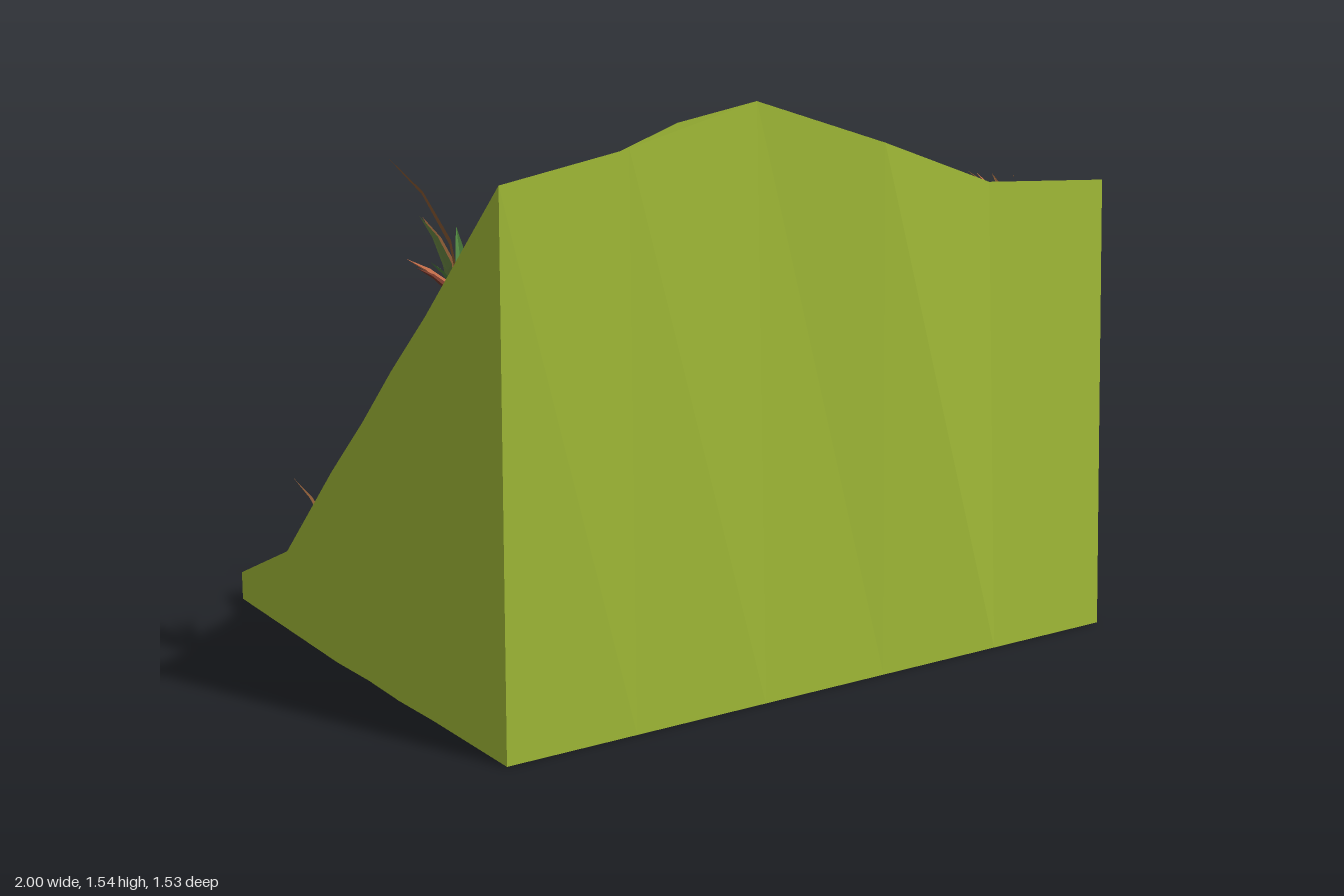
import * as THREE from 'three';

// Terrain columns from x = -0.95 to 0.98; each runs from low back to high front
const COLUMNS = [
  [[-0.95, 0.08, -0.72], [-0.95, 0.23, -0.4], [-0.95, 0.53, -0.1], [-0.94, 0.7, 0.07], [-0.94, 0.87, 0.24], [-0.93, 1.04, 0.41], [-0.92, 1.41, 0.765]],
  [[-0.56, 0.08, -0.72], [-0.56, 0.27, -0.47], [-0.6, 0.87, -0.08], [-0.57, 0.89, 0.08], [-0.51, 1.0, 0.12], [-0.49, 1.33, 0.34], [-0.55, 1.46, 0.735]],
  [[-0.17, 0.08, -0.72], [-0.17, 0.31, -0.51], [-0.24, 0.7, -0.11], [-0.19, 0.8, 0.06], [-0.19, 1.03, 0.18], [-0.18, 1.45, 0.38], [-0.16, 1.54, 0.7]],
  [[0.21, 0.08, -0.72], [0.23, 0.22, -0.37], [0.19, 0.62, -0.28], [0.15, 0.68, 0.02], [0.18, 0.92, 0.22], [0.2, 1.22, 0.52], [0.22, 1.41, 0.725]],
  [[0.6, 0.08, -0.72], [0.58, 0.175, -0.38], [0.57, 0.62, -0.13], [0.62, 0.72, 0.12], [0.6, 0.9, 0.33], [0.57, 1.15, 0.53], [0.6, 1.27, 0.685]],
  [[0.975, 0.08, -0.72], [0.975, 0.18, -0.33], [0.975, 0.58, 0.07], [0.975, 0.8, 0.17], [0.975, 0.9, 0.41], [0.94, 0.99, 0.54], [1.0, 1.24, 0.685]],
];

const mat = (color) => new THREE.MeshStandardMaterial({ color, flatShading: true, side: THREE.DoubleSide });
const GRASS = mat(0x9fb836), ROCK = mat(0xb5a698);
const BLADES = [mat(0x4c7f3c), mat(0x74382a), mat(0xc8714c), mat(0x394a22), mat(0x8a5a34)];

function seeded(seed) {
  let s = seed * 7919 + 17;
  return () => (s = (s * 16807) % 2147483647) / 2147483647;
}

function mesh(name, positions, material) {
  const g = new THREE.BufferGeometry();
  g.setAttribute('position', new THREE.Float32BufferAttribute(positions, 3));
  g.computeVertexNormals();
  const m = new THREE.Mesh(g, material);
  m.name = name;
  return m;
}

function quad(out, a, b, c, d) {
  out.push(...a, ...b, ...c, ...a, ...c, ...d);
}

function createHill() {
  const hill = new THREE.Group();
  hill.name = 'hill';
  const rows = COLUMNS[0].length, last = COLUMNS.length - 1;

  // Stepped slope
  const slope = [];
  for (let i = 0; i < last; i++) {
    for (let j = 0; j < rows - 1; j++) {
      quad(slope, COLUMNS[i][j], COLUMNS[i][j + 1], COLUMNS[i + 1][j + 1], COLUMNS[i + 1][j]);
    }
  }
  hill.add(mesh('slope', slope, GRASS));

  // Side walls dropped from the outline
  const wall = (name, edge, foot) => {
    const out = [];
    for (let k = 0; k < edge.length - 1; k++) quad(out, edge[k], foot(edge[k]), foot(edge[k + 1]), edge[k + 1]);
    hill.add(mesh(name, out, GRASS));
  };
  const sideFoot = (x) => (p) => [x(p), 0, p[2] > 0.6 ? 0.765 : p[2]];
  wall('leftWall', [...COLUMNS[last]].reverse(), sideFoot(() => 0.975));
  wall('rightWall', COLUMNS[0], sideFoot((p) => p[0]));
  wall('frontWall', COLUMNS.map((c) => c[rows - 1]), (p) => [Math.min(p[0], 0.975), 0, 0.765]);
  wall('backWall', COLUMNS.map((c) => c[0]).reverse(), (p) => [p[0], 0, p[2]]);

  // Underside, open along one edge
  const outline = [[-0.95, -0.72], [0.975, -0.72], [0.975, 0.765], [-0.74, 0.765], [-0.82, -0.12], [-0.95, -0.3]];
  const base = new THREE.ShapeGeometry(new THREE.Shape(outline.map(([x, z]) => new THREE.Vector2(x, z))));
  const underside = new THREE.Mesh(base.rotateX(Math.PI / 2), GRASS);
  underside.name = 'underside';
  hill.add(underside);
  return hill;
}

// Curved tapering blade with a folded cross-section
function createBlade(tip, width, material) {
  const side = new THREE.Vector3(tip.z, 0, -tip.x).normalize();
  const spine = [0, 0.35, 0.7, 1].map((t) => {
    const p = new THREE.Vector3(tip.x * t ** 1.8, tip.y * (1.25 * t - 0.25 * t * t), tip.z * t ** 1.8);
    const w = width * [0.7, 1, 0.6, 0.02][Math.round(t * 3)];
    const fold = p.clone();
    fold.y -= w * 0.5;
    return [p.clone().addScaledVector(side, w / 2), fold, p.clone().addScaledVector(side, -w / 2)].map((v) => v.toArray());
  });
  const out = [];
  for (let k = 0; k < 3; k++) {
    for (let e = 0; e < 2; e++) quad(out, spine[k][e], spine[k][e + 1], spine[k + 1][e + 1], spine[k + 1][e]);
  }
  return mesh('blade', out, material);
}

function createTuft({ at, size, count, seed, tall }) {
  const tuft = new THREE.Group();
  tuft.name = 'grassTuft';
  const rnd = seeded(seed);
  for (let k = 0; k < count; k++) {
    const a = (k / count) * Math.PI * 2 + rnd() * 0.5;
    const reach = size * (0.25 + 0.4 * rnd());
    const tip = new THREE.Vector3(Math.cos(a) * reach, size * (0.3 + 0.7 * rnd()), Math.sin(a) * reach - size * 0.3);
    const blade = createBlade(tip, size * 0.16, BLADES[(k + seed) % BLADES.length]);
    blade.position.set(Math.cos(a) * size * 0.12, 0, Math.sin(a) * size * 0.12);
    tuft.add(blade);
  }
  if (tall) tuft.add(createBlade(new THREE.Vector3(...tall), size * 0.15, BLADES[4]));
  tuft.position.set(...at);
  return tuft;
}

// Faceted stone, dented per corner
function createRock({ at, size, seed }) {
  const g = new THREE.IcosahedronGeometry(1, 1);
  const p = g.attributes.position, v = new THREE.Vector3();
  for (let i = 0; i < p.count; i++) {
    v.fromBufferAttribute(p, i);
    v.multiplyScalar(1 + 0.14 * Math.sin(v.x * 5 + seed) * Math.cos(v.z * 4 + v.y * 3 + seed));
    p.setXYZ(i, v.x, v.y, v.z);
  }
  g.computeVertexNormals();
  const rock = new THREE.Mesh(g, ROCK);
  rock.name = 'rock';
  rock.scale.set(...size);
  rock.rotation.x = -0.7;
  rock.position.set(...at);
  return rock;
}

export function createModel() {
  const model = new THREE.Group();
  model.name = 'grassyHillside';
  model.add(createHill());

  const tufts = [
    { at: [-0.83, 1.08, 0.41], size: 0.19, count: 11, seed: 1, tall: [-0.17, 0.35, -0.04] },
    { at: [-0.7, 0.12, -0.65], size: 0.13, count: 9, seed: 2, tall: [-0.06, 0.2, -0.11] },
    { at: [-0.35, 0.79, -0.03], size: 0.1, count: 9, seed: 3 },
    { at: [0.44, 0.72, 0.07], size: 0.2, count: 11, seed: 4, tall: [0.03, 0.22, -0.15] },
    { at: [0.53, 0.73, 0.14], size: 0.17, count: 11, seed: 6 },
    { at: [0.88, 0.3, -0.23], size: 0.13, count: 10, seed: 5 },
    { at: [0.78, 1.12, 0.57], size: 0.15, count: 9, seed: 7, tall: [-0.03, 0.13, -0.15] },
  ];
  tufts.forEach((t) => model.add(createTuft(t)));

  const rocks = [
    { at: [-0.01, 1.14, 0.26], size: [0.065, 0.065, 0.05], seed: 1 },
    { at: [0.42, 0.16, -0.52], size: [0.055, 0.05, 0.03], seed: 2 },
    { at: [0.77, 0.8, 0.14], size: [0.04, 0.04, 0.035], seed: 4 },
  ];
  rocks.forEach((r) => model.add(createRock(r)));
  return model;
}
